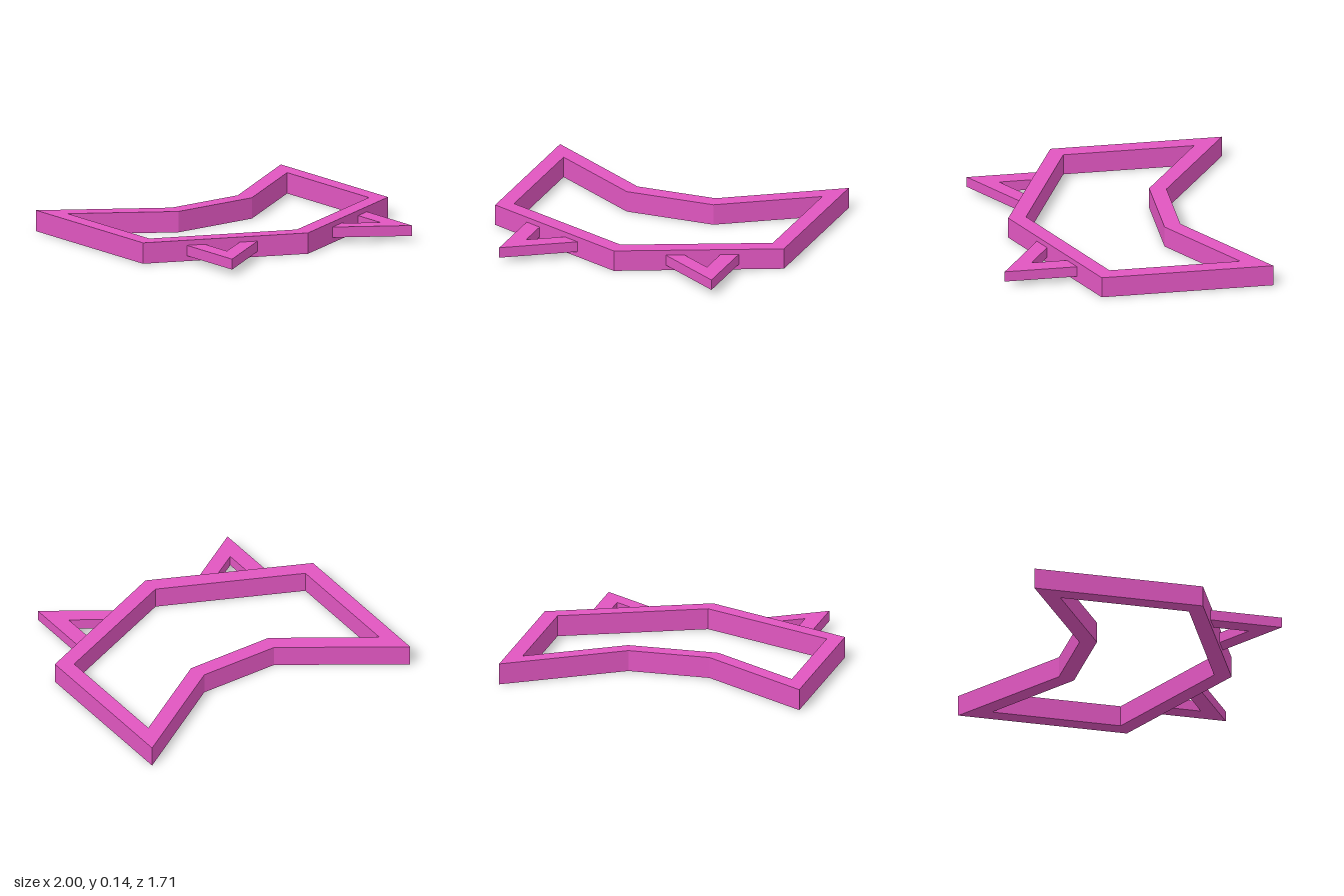
import * as THREE from 'three';

const material = new THREE.MeshStandardMaterial({ color: 0xe056c0, flatShading: true });

const toVectors = (points) => points.map(([x, z]) => new THREE.Vector2(x, z));

// Mirrors a half outline (ordered from the back centre to the front) across x = 0.
function mirrored(half) {
  const left = half.filter(([x]) => x > 0).reverse().map(([x, z]) => [-x, z]);
  return toVectors([...half, ...left]);
}

// Extrudes a plan outline, given as (x, z), between two heights.
function slab(name, outline, hole, bottom, top) {
  const shape = new THREE.Shape(outline);
  if (hole) shape.holes.push(new THREE.Path(hole));
  const geometry = new THREE.ExtrudeGeometry(shape, { depth: top - bottom, bevelEnabled: false });
  geometry.rotateX(Math.PI / 2).translate(0, top, 0);
  const mesh = new THREE.Mesh(geometry, material);
  mesh.name = name;
  return mesh;
}

export function createModel() {
  const model = new THREE.Group();
  model.name = 'outlineCutter';

  // Main frame: closed band with two back points and a front point
  const outer = mirrored([[0.27, -0.37], [1, -0.853], [1, 0.264], [0, 0.706]]);
  const inner = mirrored([[0.3, -0.262], [0.896, -0.655], [0.896, 0.197], [0, 0.59]]);
  model.add(slab('mainFrame', outer, inner, 0, 0.138));

  // Thinner V-shaped brackets, their ends sunk into the front of the frame
  const bracket = [
    [0.735, 0.34], [0.735, 0.853], [0.25, 0.534],
    [0.36, 0.487], [0.626, 0.66], [0.626, 0.39],
  ];
  for (const [name, side] of [['leftBracket', 1], ['rightBracket', -1]]) {
    const outline = toVectors(bracket.map(([x, z]) => [x * side, z]));
    model.add(slab(name, outline, null, 0.035, 0.104));
  }
  return model;
}
